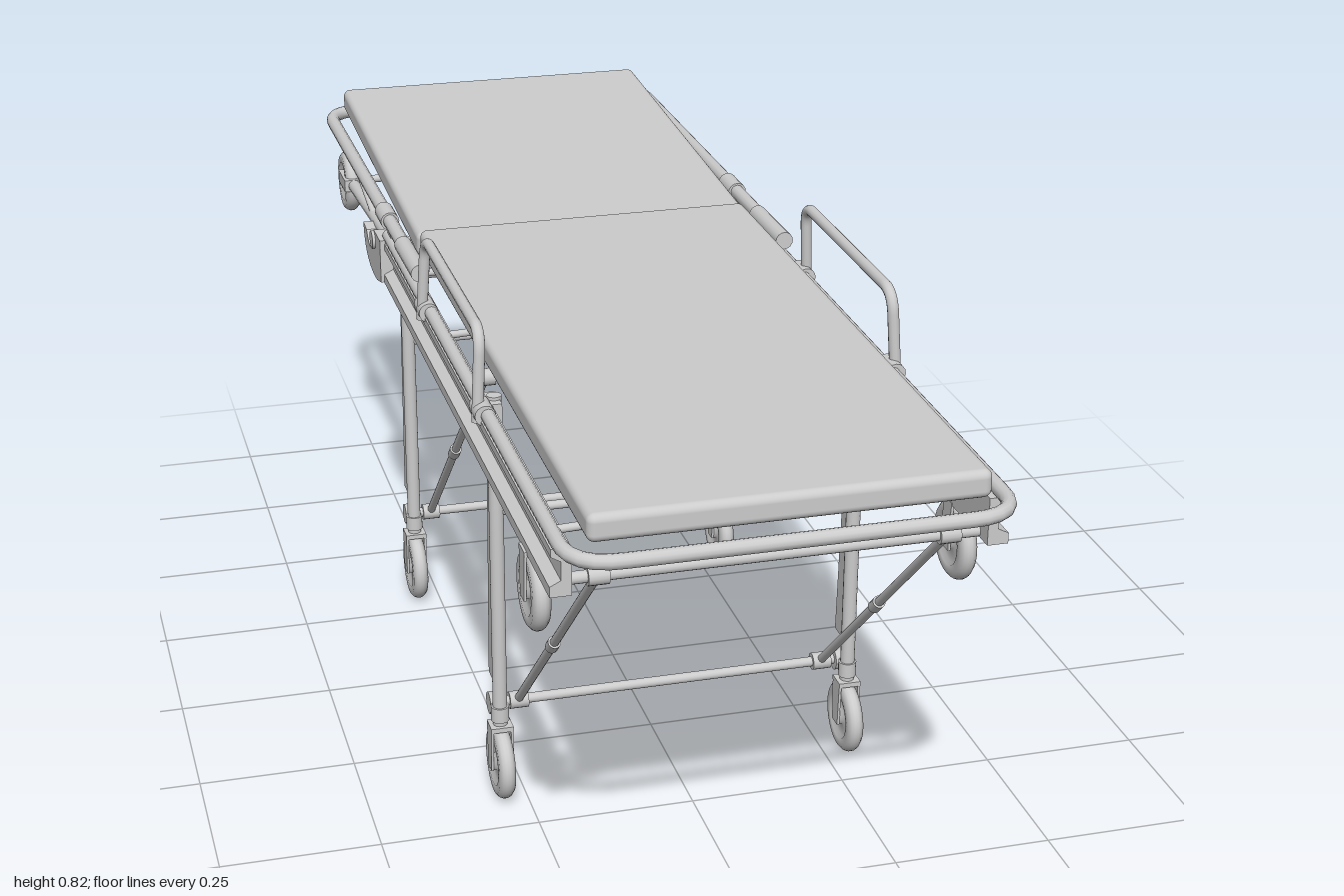
import * as THREE from 'three';
import { RoundedBoxGeometry } from 'three/addons/geometries/RoundedBoxGeometry.js';

export function createModel() {
  const root = new THREE.Group();
  root.name = 'stretcher';
  const mat = new THREE.MeshStandardMaterial({ color: 0xcccccc, side: THREE.DoubleSide });
  const V = (x, y, z) => new THREE.Vector3(x, y, z);

  const add = (name, geo, parent = root) => {
    const m = new THREE.Mesh(geo, mat);
    m.name = name;
    parent.add(m);
    return m;
  };

  // Straight round bar between two points
  const bar = (name, a, b, r, parent = root) => {
    const d = b.clone().sub(a);
    const m = add(name, new THREE.CylinderGeometry(r, r, d.length(), 16), parent);
    m.position.copy(a).add(b).multiplyScalar(0.5);
    m.quaternion.setFromUnitVectors(V(0, 1, 0), d.normalize());
    return m;
  };

  const box = (name, w, h, d, x, y, z, parent = root) => {
    const m = add(name, new THREE.BoxGeometry(w, h, d), parent);
    m.position.set(x, y, z);
    return m;
  };

  // Bent tube through corner points, each inner corner rounded by radius c
  const bentTube = (name, pts, c, r) => {
    const path = new THREE.CurvePath();
    let last = pts[0];
    for (let i = 1; i < pts.length - 1; i++) {
      const p = pts[i];
      const a = p.clone().add(pts[i - 1].clone().sub(p).setLength(c));
      const b = p.clone().add(pts[i + 1].clone().sub(p).setLength(c));
      path.add(new THREE.LineCurve3(last, a));
      path.add(new THREE.QuadraticBezierCurve3(a, p, b));
      last = b;
    }
    path.add(new THREE.LineCurve3(last, pts[pts.length - 1]));
    return add(name, new THREE.TubeGeometry(path, 160, r, 12, false));
  };

  // Flat plate drawn in (z, y), given a thickness across x
  const plate = (name, shape, t, x, parent = root) => {
    const g = new THREE.ExtrudeGeometry(shape, { depth: t, bevelEnabled: false, curveSegments: 16 });
    g.rotateY(-Math.PI / 2).translate(t / 2, 0, 0);
    const m = add(name, g, parent);
    m.position.x = x;
    return m;
  };
  const poly = (pts) => new THREE.Shape(pts.map(([a, b]) => new THREE.Vector2(a, b)));

  // Wheel with rounded tyre, recessed disc and raised hub; axle along x
  const wheel = (name, x, y, z, R) => {
    const h = 0.013;
    const half = [[0.001, 0.014], [0.013, 0.014], [0.014, 0.007], [R * 0.58, 0.007], [R * 0.64, h],
      [R * 0.86, h], [R * 0.96, 0.008], [R, 0.003]];
    const prof = [...half, ...half.map(([r, t]) => [r, -t]).reverse()];
    const g = new THREE.LatheGeometry(prof.map(([r, t]) => new THREE.Vector2(r, -t)), 36);
    const m = add(name, g.rotateZ(Math.PI / 2));
    m.position.set(x, y, z);
  };

  // Two fork cheeks beside a wheel
  const fork = (x, y, z, top) => {
    for (const o of [-0.016, 0.016]) {
      plate('forkCheek', poly([[z - 0.012, y - 0.01], [z + 0.012, y - 0.01], [z + 0.016, top], [z - 0.016, top]]), 0.004, x + o);
    }
    box('forkCrown', 0.036, 0.008, 0.034, x, top, z);
  };

  // Mattress in two sections, the back rest slightly raised
  const seat = add('mattressFront', new RoundedBoxGeometry(0.568, 0.042, 1.155, 4, 0.012));
  seat.position.set(0, 0.724, 0.377);
  const back = add('mattressBackRest', new RoundedBoxGeometry(0.574, 0.044, 0.75, 4, 0.012));
  back.position.set(0, 0.733, -0.575);
  back.rotation.x = 0.05;

  // Front and rear loops of the upper frame
  bentTube('frontFrameLoop', [V(-0.314, 0.692, -0.33), V(-0.314, 0.692, 0.987), V(0.314, 0.692, 0.987), V(0.314, 0.692, -0.33)], 0.07, 0.011);
  bentTube('rearFrameLoop', [V(-0.312, 0.722, -0.06), V(-0.312, 0.717, -0.987), V(0.312, 0.717, -0.987), V(0.312, 0.722, -0.06)], 0.07, 0.012);
  bar('rearLoopClamp', V(-0.025, 0.717, -0.987), V(0.025, 0.717, -0.987), 0.016);

  // Central strut holding up the back rest
  bar('backRestStrut', V(0, 0.62, -0.315), V(0, 0.712, -0.975), 0.008);
  box('strutFoot', 0.06, 0.012, 0.03, 0, 0.612, -0.315);
  bar('strutCrossBar', V(-0.3, 0.622, -0.315), V(0.3, 0.622, -0.315), 0.009);

  for (const s of [1, -1]) {
    // Channel shaped side rail
    const railShape = poly([[0.296, 0.612], [0.327, 0.612], [0.327, 0.628], [0.311, 0.636], [0.311, 0.664],
      [0.325, 0.672], [0.325, 0.684], [0.296, 0.684]].map(([x, y]) => [s * x, y]));
    const rail = add('sideRail', new THREE.ExtrudeGeometry(railShape, { depth: 1.245, bevelEnabled: false }));
    rail.position.z = -0.33;

    // Hand rail with its clamps on the frame
    bentTube('handRail', [V(s * 0.326, 0.675, 0.458), V(s * 0.318, 0.814, 0.45), V(s * 0.318, 0.814, 0.038), V(s * 0.326, 0.675, 0.03)], 0.035, 0.009);
    for (const z of [0.458, 0.03]) {
      bar('handRailClamp', V(s * 0.318, 0.692, z - 0.022), V(s * 0.318, 0.692, z + 0.022), 0.016);
    }

    // Hinge sleeves, clamps and mattress tabs
    bar('hingeSleeve', V(s * 0.312, 0.722, -0.05), V(s * 0.312, 0.72, -0.2), 0.015);
    bar('hingeCollar', V(s * 0.312, 0.72, -0.32), V(s * 0.312, 0.72, -0.38), 0.016);
    for (const z of [-0.12, -0.3]) box('hingeLink', 0.012, 0.05, 0.03, s * 0.312, 0.704, z);
    for (const z of [0.88, 0.16, -0.12]) bar('mattressTab', V(s * 0.27, 0.697, z), V(s * 0.314, 0.695, z), 0.006);

    // Hook shaped catch at the end of the side rail
    const hook = new THREE.Shape();
    hook.moveTo(-0.31, 0.69);
    hook.lineTo(-0.31, 0.614);
    hook.lineTo(-0.35, 0.604);
    hook.quadraticCurveTo(-0.47, 0.595, -0.478, 0.668);
    hook.lineTo(-0.446, 0.664);
    hook.quadraticCurveTo(-0.42, 0.63, -0.385, 0.655);
    hook.lineTo(-0.37, 0.69);
    plate('hookCatch', hook, 0.022, s * 0.322);

    // Loading wheel arms below the back rest
    bar('rearWheelArm', V(s * 0.305, 0.672, -0.36), V(s * 0.305, 0.645, -0.77), 0.011);
    bar('rearArmStay', V(s * 0.305, 0.64, -0.42), V(s * 0.309, 0.712, -0.7), 0.006);
    bar('rearArmPivot', V(s * 0.285, 0.672, -0.37), V(s * 0.338, 0.672, -0.37), 0.016);
    box('rearWheelBracket', 0.036, 0.022, 0.07, s * 0.305, 0.647, -0.775);
    wheel('rearLoadingWheel', s * 0.305, 0.638, -0.8, 0.056);

    // Front loading wheel under the rail
    wheel('frontLoadingWheel', s * 0.313, 0.548, 0.76, 0.06);
    fork(s * 0.313, 0.548, 0.765, 0.612);

    for (const z of [0.4, -0.315]) {
      // Leg with caster
      const x = s * 0.288;
      bar('leg', V(x, 0.125, z), V(x, 0.69, z), 0.0115);
      bar('legSocket', V(x, 0.135, z), V(x, 0.16, z), 0.0145);
      wheel('legWheel', x, 0.06, z, 0.06);
      fork(x, 0.06, z, 0.124);
      plate('legBlade', poly([[z - 0.006, 0.61], [z - 0.022, 0.61], [z - 0.042, 0.2], [z - 0.012, 0.2]]), 0.016, x);
      box('legTopBlock', 0.03, 0.05, 0.05, s * 0.296, 0.66, z);

      // Folding diagonal brace with middle joint and end collars
      const a = V(s * 0.252, 0.15, z - 0.03), b = V(s * 0.252, 0.62, z + 0.48);
      const mid = a.clone().lerp(b, 0.48), dir = b.clone().sub(a).setLength(0.014);
      bar('diagonalBrace', a, b, 0.007);
      bar('braceJoint', mid.clone().sub(dir), mid.clone().add(dir), 0.01);
      for (const p of [a, b]) bar('braceCollar', V(p.x - 0.015, p.y, p.z), V(p.x + 0.015, p.y, p.z), 0.014);
      bar('lowerBarBracket', V(x, 0.15, z), V(x, 0.15, z - 0.035), 0.009);
      bar('lowerBarKnob', V(s * 0.274, 0.15, z - 0.03), V(s * 0.3, 0.15, z - 0.03), 0.018);
    }
  }

  // Cross bars of each leg pair
  for (const z of [0.4, -0.315]) {
    bar('lowerCrossBar', V(-0.285, 0.15, z - 0.03), V(0.285, 0.15, z - 0.03), 0.008);
    bar('middleCrossBar', V(-0.285, 0.498, z), V(0.285, 0.498, z), 0.007);
    bar('upperCrossBar', V(-0.3, 0.62, z + 0.48), V(0.3, 0.62, z + 0.48), 0.009);
  }
  bar('rearWheelAxle', V(-0.3, 0.638, -0.8), V(0.3, 0.638, -0.8), 0.007);

  return root;
}
